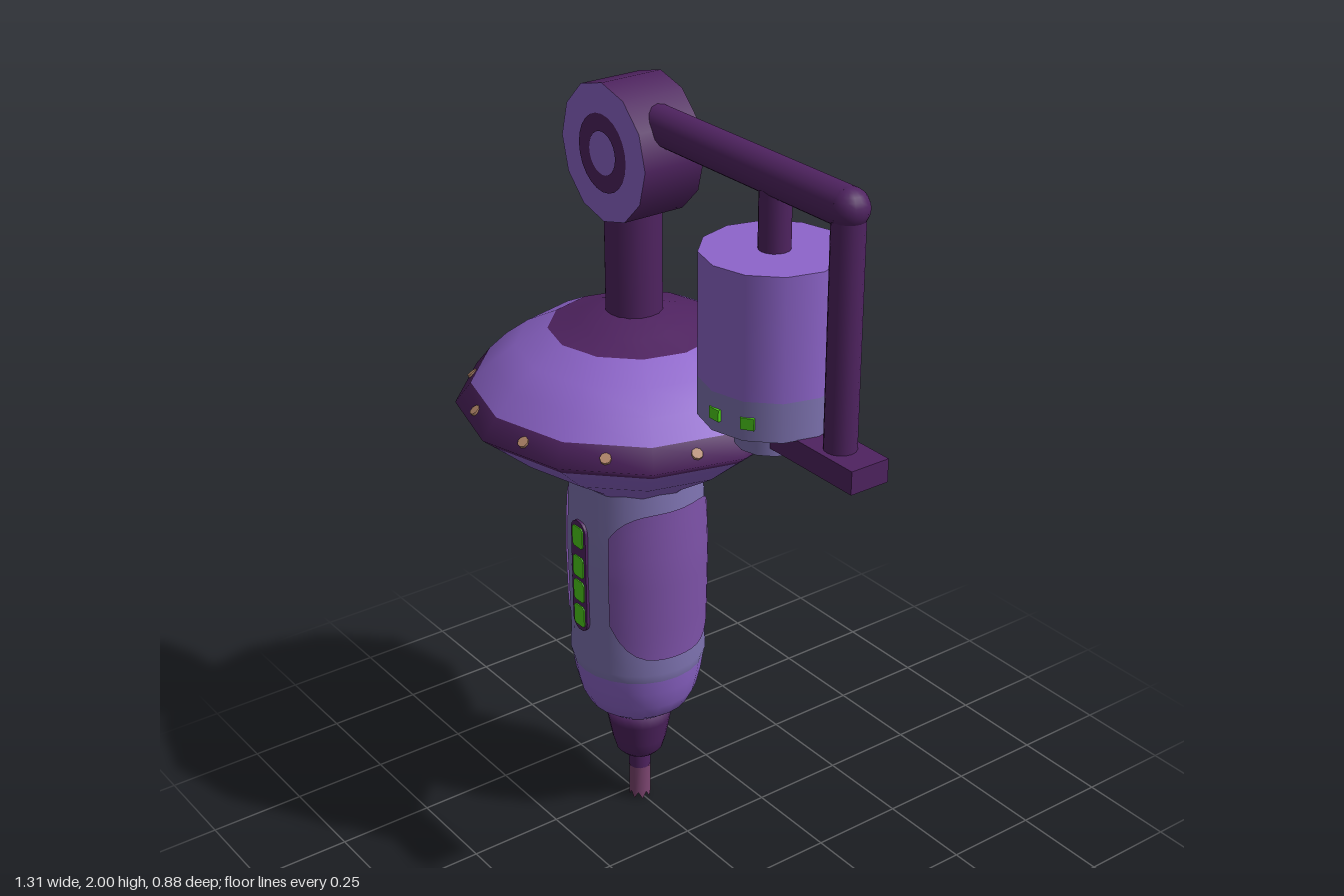
import * as THREE from 'three';

export function createModel() {
  const root = new THREE.Group();
  root.name = 'tool';
  const mat = (name, color, side = THREE.FrontSide) => {
    const m = new THREE.MeshStandardMaterial({ color, side });
    m.name = name;
    return m;
  };
  const violet = mat('violet', 0x8e65cb, THREE.DoubleSide);
  const plum = mat('dark plum', 0x4f2360, THREE.DoubleSide);
  const slate = mat('slate lavender', 0x7f74b2, THREE.DoubleSide);
  const grip = mat('grip purple', 0x7d52a8, THREE.DoubleSide);
  const green = mat('light green', 0x4fd01c);
  const tan = mat('rivet tan', 0xb08468);
  const mauve = mat('mauve', 0x7c4570, THREE.DoubleSide);

  const AX = -0.215; // main axis
  const add = (name, geo, material, x = 0, y = 0, z = 0, parent = root) => {
    const m = new THREE.Mesh(geo, material);
    m.name = name;
    m.position.set(x, y, z);
    parent.add(m);
    return m;
  };
  const lathe = (name, pts, material, seg = 24) =>
    add(name, new THREE.LatheGeometry(pts.map(p => new THREE.Vector2(...p)), seg), material, AX);
  const rod = (name, r, y0, y1, material, x, seg = 16) =>
    add(name, new THREE.CylinderGeometry(r, r, y1 - y0, seg), material, x, (y0 + y1) / 2);

  // Disc: twelve-sided, in colour bands
  lathe('discUnderside', [[0.165, 0.99], [0.18, 1.005], [0.31, 1.09], [0.41, 1.175]], violet, 12);
  lathe('discRim', [[0.41, 1.175], [0.44, 1.2], [0.4, 1.25]], plum, 12);
  lathe('discTop', [[0.4, 1.25], [0.35, 1.3], [0.29, 1.345], [0.21, 1.385]], violet, 12);
  lathe('discCap', [[0.21, 1.385], [0.14, 1.405], [0.065, 1.43], [0, 1.43]], plum, 12);
  const rivets = new THREE.Group();
  rivets.name = 'rimRivets';
  rivets.position.x = AX;
  root.add(rivets);
  for (let i = 0; i < 12; i++) {
    const arm = new THREE.Group();
    arm.rotation.y = (i + 0.5) * Math.PI / 6;
    rivets.add(arm);
    const r = add('rivet', new THREE.CylinderGeometry(0.014, 0.014, 0.008, 8), tan, 0, 1.225, 0.407, arm);
    r.rotation.x = 0.66;
  }

  // Handle body, lower collar, chuck and bit
  const bodyPts = [[0.17, 0.46], [0.176, 0.485], [0.173, 0.55], [0.175, 0.65], [0.177, 0.78], [0.174, 0.88], [0.168, 1.01]];
  lathe('body', bodyPts, slate);
  lathe('collar', [[0.085, 0.3], [0.1, 0.305], [0.132, 0.33], [0.152, 0.37], [0.164, 0.42], [0.17, 0.46]], violet);
  lathe('chuck', [[0, 0.15], [0.05, 0.152], [0.062, 0.165], [0.072, 0.2], [0.083, 0.26], [0.092, 0.305], [0, 0.305]], plum);
  rod('bitShank', 0.029, 0.1, 0.155, plum, AX, 12);

  // Bit tube with a toothed lower edge
  const bit = new THREE.CylinderGeometry(0.029, 0.029, 0.1, 16, 1, true);
  const bp = bit.attributes.position;
  for (let i = 17; i < 34; i++) if (i % 2) bp.setY(i, -0.03);
  bit.computeVertexNormals();
  add('bit', bit, mauve, AX, 0.05);
  rod('bitCore', 0.026, 0.025, 0.1, mauve, AX, 12);

  // Radius of the body at a given height
  const bodyR = y => {
    for (let i = 1; i < bodyPts.length; i++) {
      const [r0, y0] = bodyPts[i - 1], [r1, y1] = bodyPts[i];
      if (y <= y1) return r0 + (r1 - r0) * (y - y0) / (y1 - y0);
    }
    return 0.168;
  };

  // Curved grips wrapped on both flanks
  for (const side of [1, -1]) {
    const g = new THREE.PlaneGeometry(2, 1, 16, 10);
    const p = g.attributes.position;
    for (let i = 0; i < p.count; i++) {
      const u = p.getX(i), t = p.getY(i) + 0.5;
      const k = u * u * u * u;
      const lo = 0.53 + 0.1 * k, hi = 0.95 - 0.07 * k;
      const y = lo + (hi - lo) * t, a = side * Math.PI / 2 + u * 1.03, r = bodyR(y) + 0.004;
      p.setXYZ(i, r * Math.sin(a), y, r * Math.cos(a));
    }
    g.computeVertexNormals();
    add(side > 0 ? 'leftGrip' : 'rightGrip', g, grip, AX);
  }

  // Light strips, front and back
  const pill = (w, h, r) => {
    const s = new THREE.Shape();
    const x = w / 2 - r, y = h / 2 - r;
    s.absarc(x, y, r, 0, Math.PI / 2);
    s.absarc(-x, y, r, Math.PI / 2, Math.PI);
    s.absarc(-x, -y, r, Math.PI, Math.PI * 1.5);
    s.absarc(x, -y, r, Math.PI * 1.5, Math.PI * 2);
    return new THREE.ExtrudeGeometry(s, { depth: 0.008, bevelEnabled: false, curveSegments: 5 });
  };
  for (const turn of [0, Math.PI]) {
    const strip = new THREE.Group();
    strip.name = turn ? 'backLightStrip' : 'frontLightStrip';
    strip.position.x = AX;
    strip.rotation.y = turn;
    root.add(strip);
    add('stripPlate', pill(0.062, 0.315, 0.03), plum, 0, 0.742, 0.171, strip);
    for (const y of [0.628, 0.7, 0.77, 0.855])
      add('stripLight', pill(0.044, 0.058, 0.01), green, 0, y, 0.174, strip);
  }

  // Post and pivot drum
  rod('post', 0.07, 1.41, 1.72, plum, AX);
  const drum = new THREE.Group();
  drum.name = 'pivotDrum';
  drum.position.set(AX, 1.833, 0);
  root.add(drum);
  add('drumBody', new THREE.CylinderGeometry(0.167, 0.167, 0.166, 12), [plum, violet, violet], 0, 0, 0, drum)
    .rotation.x = Math.PI / 2;
  for (const turn of [0, Math.PI])
    add('drumRing', new THREE.RingGeometry(0.052, 0.094, 24), plum, 0, 0, turn ? -0.085 : 0.085, drum)
      .rotation.y = turn;

  // Arm, end knob and hanging rods
  const arm = rod('arm', 0.046, 0, 0.69, plum, 0);
  arm.rotation.z = Math.PI / 2;
  arm.position.set(0.21, 1.915, 0);
  add('armKnob', new THREE.SphereGeometry(0.046, 16, 12), plum, 0.555, 1.915);
  rod('outerRod', 0.038, 1.34, 1.91, plum, 0.555);
  add('foot', new THREE.BoxGeometry(0.345, 0.057, 0.104), plum, 0.4825, 1.333);

  // Canister with lower band and nozzle
  const CX = 0.315;
  rod('canisterRod', 0.037, 1.74, 1.9, plum, CX);
  rod('canister', 0.168, 1.455, 1.75, violet, CX, 12);
  rod('canisterBand', 0.168, 1.36, 1.455, slate, CX, 12);
  rod('nozzle', 0.084, 1.285, 1.362, slate, CX, 12);
  for (const deg of [3, 33, 147, 177]) {
    const holder = new THREE.Group();
    holder.name = 'canisterLight';
    holder.position.x = CX;
    holder.rotation.y = deg * Math.PI / 180;
    root.add(holder);
    add('lamp', new THREE.BoxGeometry(0.032, 0.028, 0.009), green, 0, 1.403, 0.166, holder);
  }
  return root;
}
